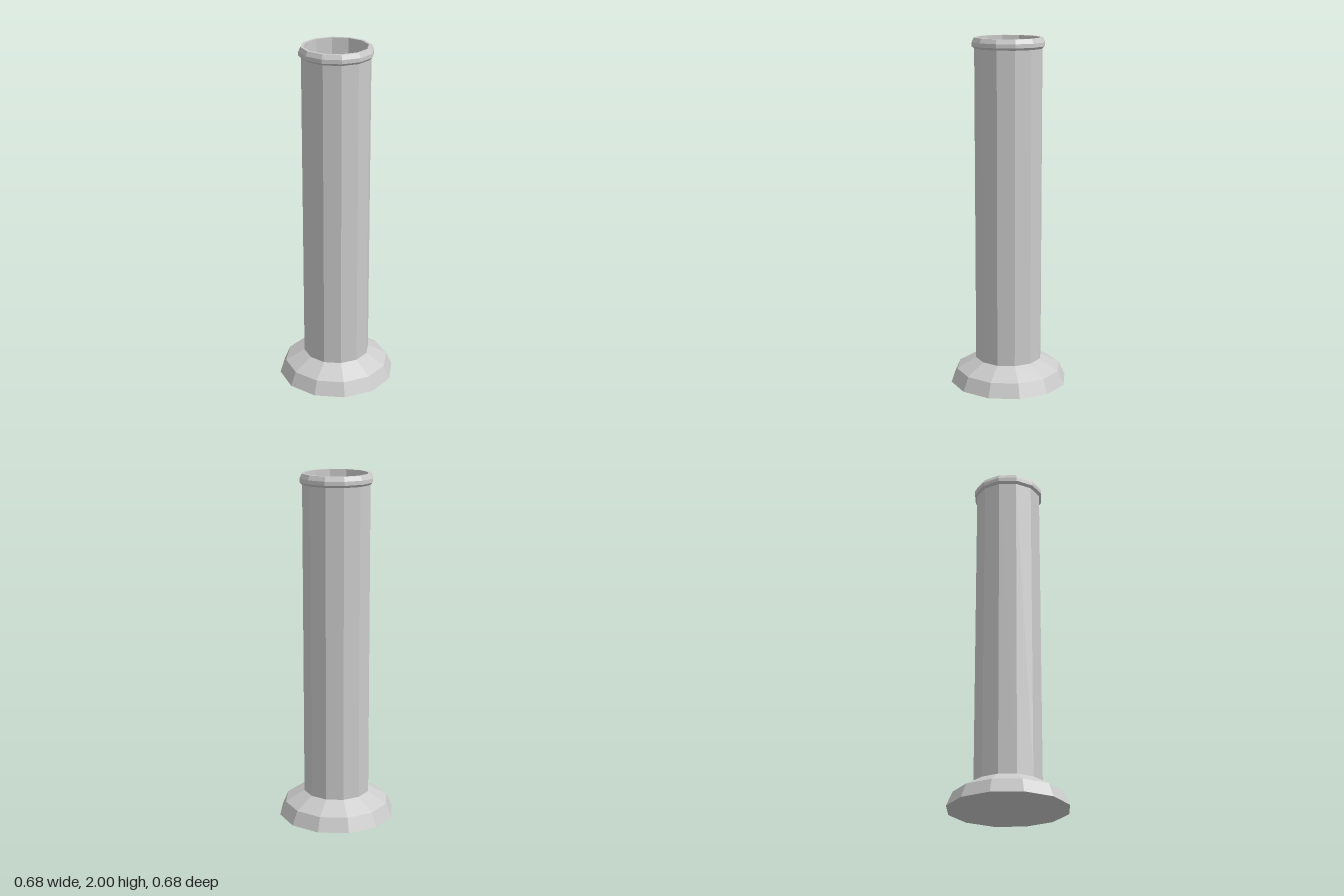
import * as THREE from 'three';

const SIDES = 12;

export function createModel() {
  const group = new THREE.Group();
  const material = new THREE.MeshStandardMaterial({ color: 0xcccccc, flatShading: true });

  // Turn a [radius, height] profile into a faceted ring
  function turned(name, profile) {
    const points = profile.map(([r, y]) => new THREE.Vector2(r, y));
    const mesh = new THREE.Mesh(new THREE.LatheGeometry(points, SIDES), material);
    mesh.name = name;
    group.add(mesh);
  }

  // Flared foot with closed underside
  turned('foot', [[0, 0], [0.34, 0], [0.305, 0.08], [0.193, 0.143]]);

  // Tall straight outer wall
  turned('tubeWall', [[0.193, 0.143], [0.193, 1.94]]);

  // Rolled lip at the mouth
  turned('lip', [[0.193, 1.94], [0.207, 1.953], [0.207, 1.975], [0.195, 2], [0.178, 2]]);

  // Inner wall, running down to a rounded floor
  turned('innerWall', [
    [0.178, 2], [0.178, 0.18], [0.167, 0.135], [0.14, 0.09],
    [0.082, 0.052], [0.036, 0.04], [0, 0.04],
  ]);

  return group;
}
